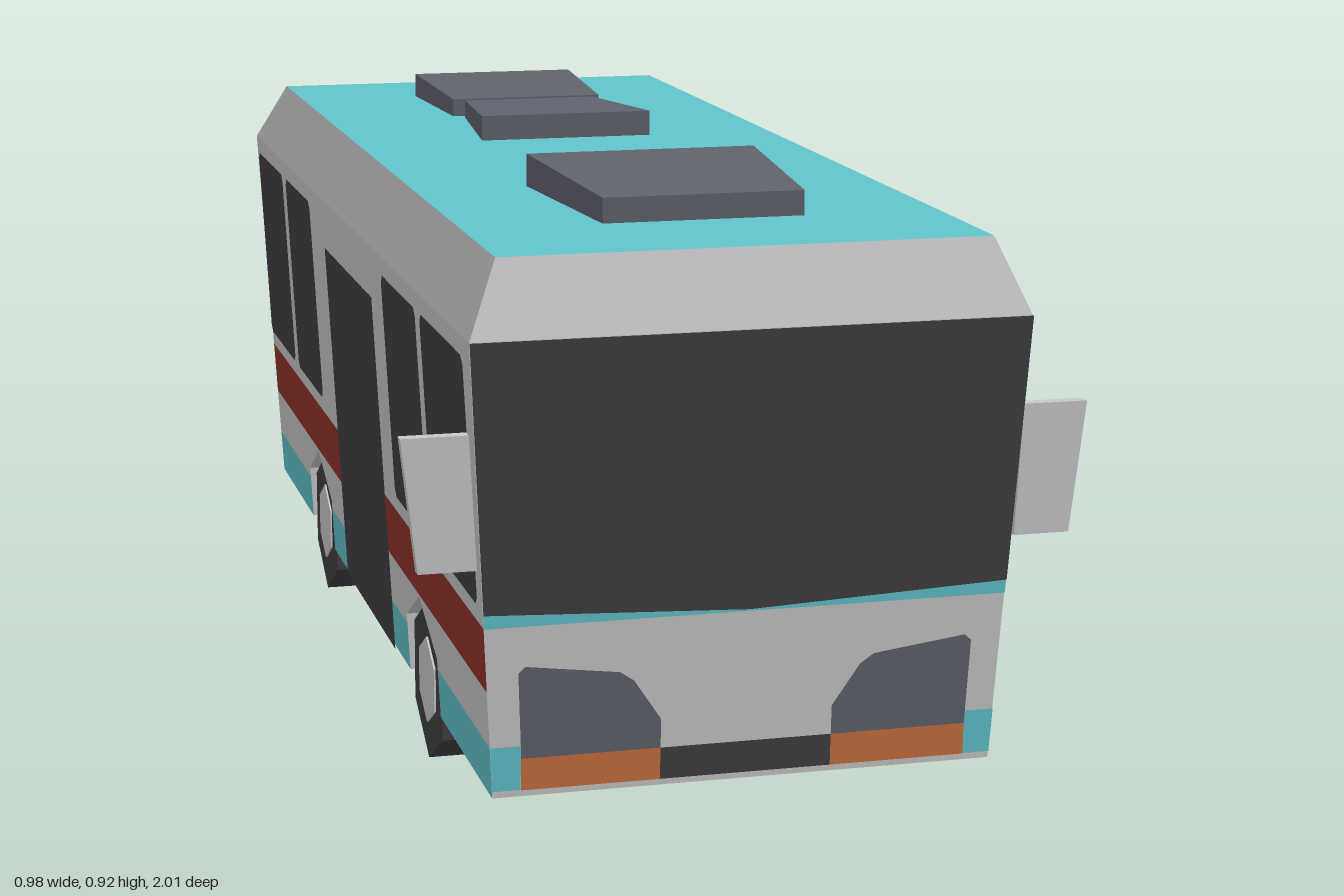
import * as THREE from 'three';

const paint = (name, color) => new THREE.MeshStandardMaterial({ name, color, side: THREE.DoubleSide });

const FLOOR = 0.105, EAVE = 0.76, ROOF = 0.867;
const WHEEL_Z = [0.48, -0.48], ARCH = 0.121, WELL_X = 0.26;

// The walls lean outwards from the floor to the eaves
const lean = (y) => 0.035 * (y - FLOOR) / (EAVE - FLOOR);
const halfX = (y) => 0.365 + lean(y);
const halfZ = (y) => 0.965 + lean(y);

// Faces of the bus: turn about y and the wall distance at a height
const FACES = {
  front: [0, halfZ], back: [Math.PI, halfZ],
  right: [Math.PI / 2, halfX], left: [-Math.PI / 2, halfX],
};

const rect = (u0, u1, y0, y1) => [[u0, y0], [u1, y0], [u1, y1], [u0, y1]];

function shapeOf(points) {
  return new THREE.Shape(points.map(([u, y]) => new THREE.Vector2(u, y)));
}

// Rectangle with clipped corners
function softRect(u0, u1, y0, y1, c = 0.012) {
  return [[u0 + c, y0], [u1 - c, y0], [u1, y0 + c], [u1, y1 - c],
    [u1 - c, y1], [u0 + c, y1], [u0, y1 - c], [u0, y0 + c]];
}

// Flat-shaded faces from four-cornered loops
function quads(list) {
  const p = [];
  for (const [a, b, c, d] of list) p.push(...a, ...b, ...c, ...a, ...c, ...d);
  const g = new THREE.BufferGeometry();
  g.setAttribute('position', new THREE.Float32BufferAttribute(p, 3));
  g.computeVertexNormals();
  return g;
}

export function createModel() {
  const bus = new THREE.Group();
  bus.name = 'bus';
  const grey = paint('bodyGrey', 0xc8c8ca);
  const cyan = paint('cyan', 0x62c4cc);
  const red = paint('red', 0x90322c);
  const glass = paint('darkGlass', 0x403e42);
  const slate = paint('slate', 0x60636d);
  const orange = paint('orange', 0xc87040);

  const add = (name, geometry, material) => {
    const mesh = new THREE.Mesh(geometry, material);
    mesh.name = name;
    bus.add(mesh);
    return mesh;
  };

  // A flat panel laid on one leaning wall, drawn as seen from outside
  const panel = (name, face, points, material, lift = 0) => {
    const [turn, dist] = FACES[face];
    const g = new THREE.ShapeGeometry(shapeOf(points));
    const p = g.attributes.position;
    for (let i = 0; i < p.count; i++) p.setZ(i, dist(p.getY(i)) + lift);
    g.computeVertexNormals();
    g.rotateY(turn);
    return add(name, g, material);
  };
  const DETAIL = 0.004;

  // Side walls in colour bands, notched round the wheels
  for (const face of ['right', 'left']) {
    const band = (y0, y1) => [[-halfZ(y0), y0], [halfZ(y0), y0], [halfZ(y1), y1], [-halfZ(y1), y1]];
    const e0 = halfZ(FLOOR), e1 = halfZ(0.18), w = 0.48;
    panel('lowerBand', face, [[-e0, FLOOR], [-w - ARCH, FLOOR], [-w - ARCH, 0.18], [-e1, 0.18]], cyan);
    panel('lowerBand', face, rect(-w + ARCH, w - ARCH, FLOOR, 0.18), cyan);
    panel('lowerBand', face, [[w + ARCH, FLOOR], [e0, FLOOR], [e1, 0.18], [w + ARCH, 0.18]], cyan);
    const edge = [[-e1, 0.18]];
    for (const c of [-w, w]) {
      edge.push([c - ARCH, 0.18], [c - ARCH, 0.196], [c, 0.259], [c + ARCH, 0.196], [c + ARCH, 0.18]);
    }
    edge.push([e1, 0.18], [halfZ(0.262), 0.262], [-halfZ(0.262), 0.262]);
    panel('skirt', face, edge, grey);
    panel('redStripe', face, band(0.262, 0.355), red);
    panel('upperWall', face, band(0.355, EAVE), grey);
  }

  // Side windows: six on the right, four and a door on the left
  const windows = [[0.66, 0.965], [0.35, 0.625], [0.03, 0.3], [-0.3, -0.02], [-0.62, -0.345], [-0.96, -0.66]];
  windows.forEach(([z0, z1], i) => {
    panel('sideWindow', 'right', softRect(-z1, -z0, 0.385, 0.735), glass, DETAIL);
    if (i < 2 || i > 3) panel('sideWindow', 'left', softRect(z0, z1, 0.385, 0.735), glass, DETAIL);
  });
  panel('door', 'left', rect(-0.2, 0.25, FLOOR, 0.68), glass, DETAIL);

  // End walls
  const h = halfX;
  const endBand = (y0, y1) => [[-h(y0), y0], [h(y0), y0], [h(y1), y1], [-h(y1), y1]];
  panel('frontWall', 'front', endBand(FLOOR, EAVE), grey);
  panel('backWall', 'back', endBand(0.18, EAVE), grey);
  panel('backBand', 'back', endBand(FLOOR, 0.18), cyan);

  // Front details
  panel('windscreenTrim', 'front', endBand(0.355, 0.378), cyan, 0.002);
  panel('windscreen', 'front',
    [[-h(0.375), 0.375], [0, 0.358], [h(0.375), 0.375], [h(EAVE), EAVE], [-h(EAVE), EAVE]], glass, DETAIL);
  panel('grille', 'front', rect(-0.125, 0.125, 0.115, 0.162), glass, DETAIL);
  const lamp = [[0.125, 0.162], [0.325, 0.162], [0.33, 0.288], [0.32, 0.297],
    [0.185, 0.279], [0.165, 0.265], [0.125, 0.205]];
  for (const s of [1, -1]) {
    const mirror = (points) => points.map(([u, y]) => [s * u, y]);
    panel('frontCorner', 'front', mirror([[0.325, 0.115], [h(0.115), 0.115], [h(0.18), 0.18], [0.325, 0.18]]), cyan, 0.002);
    panel('headlamp', 'front', mirror(lamp), slate, DETAIL);
    panel('frontIndicator', 'front', mirror(rect(0.125, 0.325, 0.115, 0.162)), orange, DETAIL);
    panel('tailLamp', 'back', mirror(softRect(0.175, 0.335, 0.265, 0.36)), red, DETAIL);
    panel('rearIndicator', 'back', mirror(softRect(0.155, 0.31, 0.125, 0.168, 0.006)), orange, DETAIL);

    // Mirror boards
    const board = new THREE.ExtrudeGeometry(
      shapeOf(mirror([[0.388, 0.44], [0.47, 0.44], [0.492, 0.63], [0.398, 0.63]])),
      { depth: 0.018, bevelEnabled: false });
    board.translate(0, 0, 0.966);
    add('wingMirror', board, grey);
  }

  // Back details
  panel('rearWindow', 'back', softRect(-0.365, 0.365, 0.385, 0.738), glass, DETAIL);
  panel('rearPlate', 'back', softRect(-0.125, 0.125, 0.27, 0.36), slate, DETAIL);
  panel('rearSlot', 'back', rect(-0.12, 0.12, 0.145, 0.165), glass, DETAIL);

  // Sloping cornice and flat roof
  const low = [[-0.4, EAVE, 1], [0.4, EAVE, 1], [0.4, EAVE, -1], [-0.4, EAVE, -1]];
  const top = [[-0.355, ROOF, 0.96], [0.355, ROOF, 0.96], [0.355, ROOF, -0.9], [-0.355, ROOF, -0.9]];
  add('cornice', quads(low.map((p, i) => [p, low[(i + 1) % 4], top[(i + 1) % 4], top[i]])), grey);
  add('roof', quads([top]), cyan);

  // Floor, left open over the wheels
  const floorRect = (x0, x1, z0, z1) => [[x0, FLOOR, z0], [x1, FLOOR, z0], [x1, FLOOR, z1], [x0, FLOOR, z1]];
  const floor = [floorRect(-WELL_X, WELL_X, -0.965, 0.965)];
  for (const [x0, x1] of [[-0.365, -WELL_X], [WELL_X, 0.365]]) {
    floor.push(floorRect(x0, x1, -0.965, -0.48 - ARCH), floorRect(x0, x1, -0.48 + ARCH, 0.48 - ARCH),
      floorRect(x0, x1, 0.48 + ARCH, 0.965));
  }
  add('floor', quads(floor), grey);

  // Six-sided wheels in their wells
  const hex = (r, width) => new THREE.CylinderGeometry(r, r, width, 6).rotateY(Math.PI / 6)
    .rotateZ(Math.PI / 2).toNonIndexed();
  const arch = [[ARCH, FLOOR], [ARCH, 0.196], [0, 0.259], [-ARCH, 0.196], [-ARCH, FLOOR]];
  for (const s of [1, -1]) {
    for (const z of WHEEL_Z) {
      const tyre = hex(0.126, 0.08);
      tyre.computeVertexNormals();
      add('tyre', tyre, glass).position.set(s * 0.32, 0.126, z);
      const hub = hex(0.068, 0.01);
      hub.computeVertexNormals();
      add('hub', hub, grey).position.set(s * 0.358, 0.126, z);

      const well = [];
      for (let i = 0; i < 4; i++) {
        const [a, ay] = arch[i], [b, by] = arch[i + 1];
        well.push([[s * WELL_X, ay, z + a], [s * WELL_X, by, z + b],
          [s * halfX(by), by, z + b], [s * halfX(ay), ay, z + a]]);
      }
      well.push([arch[0], arch[1], arch[3], arch[4]].map(([a, y]) => [s * WELL_X, y, z + a]));
      well.push([arch[1], arch[2], arch[2], arch[3]].map(([a, y]) => [s * WELL_X, y, z + a]));
      add('wheelWell', quads(well), grey);
    }
  }

  // Wedge-shaped roof units: [z, half width, top height] at the front and rear ends
  const units = [
    [[0.735, 0.15, 0.904], [0.38, 0.18, 0.917]],
    [[-0.11, 0.145, 0.908], [-0.395, 0.115, 0.897]],
    [[-0.415, 0.132, 0.897], [-0.7, 0.145, 0.908]],
  ];
  for (const [front, rear] of units) {
    const g = new THREE.BoxGeometry(2, 1, 1);
    const p = g.attributes.position;
    for (let i = 0; i < p.count; i++) {
      const [z, half, height] = p.getZ(i) > 0 ? front : rear;
      p.setXYZ(i, p.getX(i) * half, p.getY(i) > 0 ? height : ROOF - 0.005, z);
    }
    g.computeVertexNormals();
    add('roofUnit', g, slate);
  }
  return bus;
}
